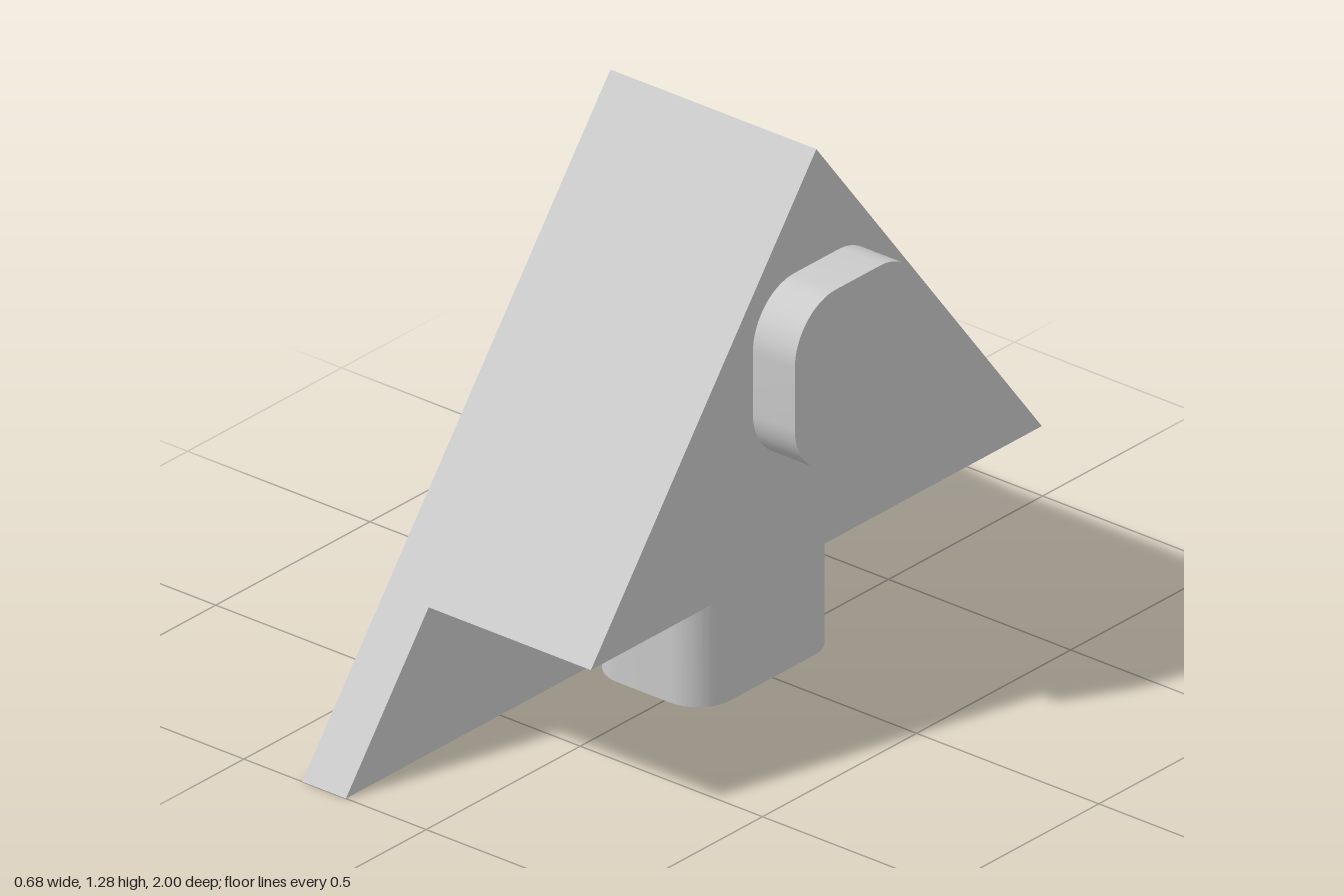
import * as THREE from 'three';
import { toCreasedNormals } from 'three/addons/utils/BufferGeometryUtils.js';

const material = new THREE.MeshStandardMaterial({ color: 0xcccccc });

function polygon(points) {
  return new THREE.Shape(points.map(([x, y]) => new THREE.Vector2(x, y)));
}

// Rectangle centred on (cx, cy) with half sizes w, h and corner radius r
function roundedRect(cx, cy, w, h, r) {
  const s = new THREE.Shape();
  s.absarc(cx + w - r, cy + h - r, r, 0, Math.PI / 2);
  s.absarc(cx - w + r, cy + h - r, r, Math.PI / 2, Math.PI);
  s.absarc(cx - w + r, cy - h + r, r, Math.PI, Math.PI * 1.5);
  s.absarc(cx + w - r, cy - h + r, r, Math.PI * 1.5, Math.PI * 2);
  s.closePath();
  return s;
}

function extrude(name, shape, depth) {
  const raw = new THREE.ExtrudeGeometry(shape, { depth, bevelEnabled: false, curveSegments: 12 });
  const mesh = new THREE.Mesh(toCreasedNormals(raw, 0.5), material);
  mesh.name = name;
  return mesh;
}

// Extrude a side profile (z, y) along x
function alongX(name, shape, x0, x1) {
  const mesh = extrude(name, shape, x1 - x0);
  mesh.geometry.rotateY(Math.PI / 2);
  mesh.position.x = x0;
  return mesh;
}

export function createModel() {
  const group = new THREE.Group();
  group.name = 'slopedBlock';
  const apex = 1.285, ledge = 0.345;
  const halfLedge = 1 - ledge / apex;

  // Full-height triangular plate
  group.add(alongX('backPlate', polygon([[-1, 0], [1, 0], [0, apex]]), -0.34, -0.22));

  // Thick upper wedge, stopping at the ledge
  group.add(alongX('upperWedge',
    polygon([[-halfLedge, ledge], [halfLedge, ledge], [0, apex]]), -0.22, 0.225));

  // Round-cornered stud on the side face
  group.add(alongX('sideStud', roundedRect(0, 0.815, 0.206, 0.206, 0.135), 0.225, 0.34));

  // Hollow socket below the ledge, with a rectangular hole
  const socket = roundedRect(-0.0575, 0, 0.1625, 0.226, 0.09);
  socket.holes.push(polygon([[-0.15, -0.165], [-0.15, 0.165], [0.05, 0.165], [0.05, -0.165]]));
  const tube = extrude('socketTube', socket, ledge);
  tube.geometry.rotateX(-Math.PI / 2);
  group.add(tube);

  return group;
}
